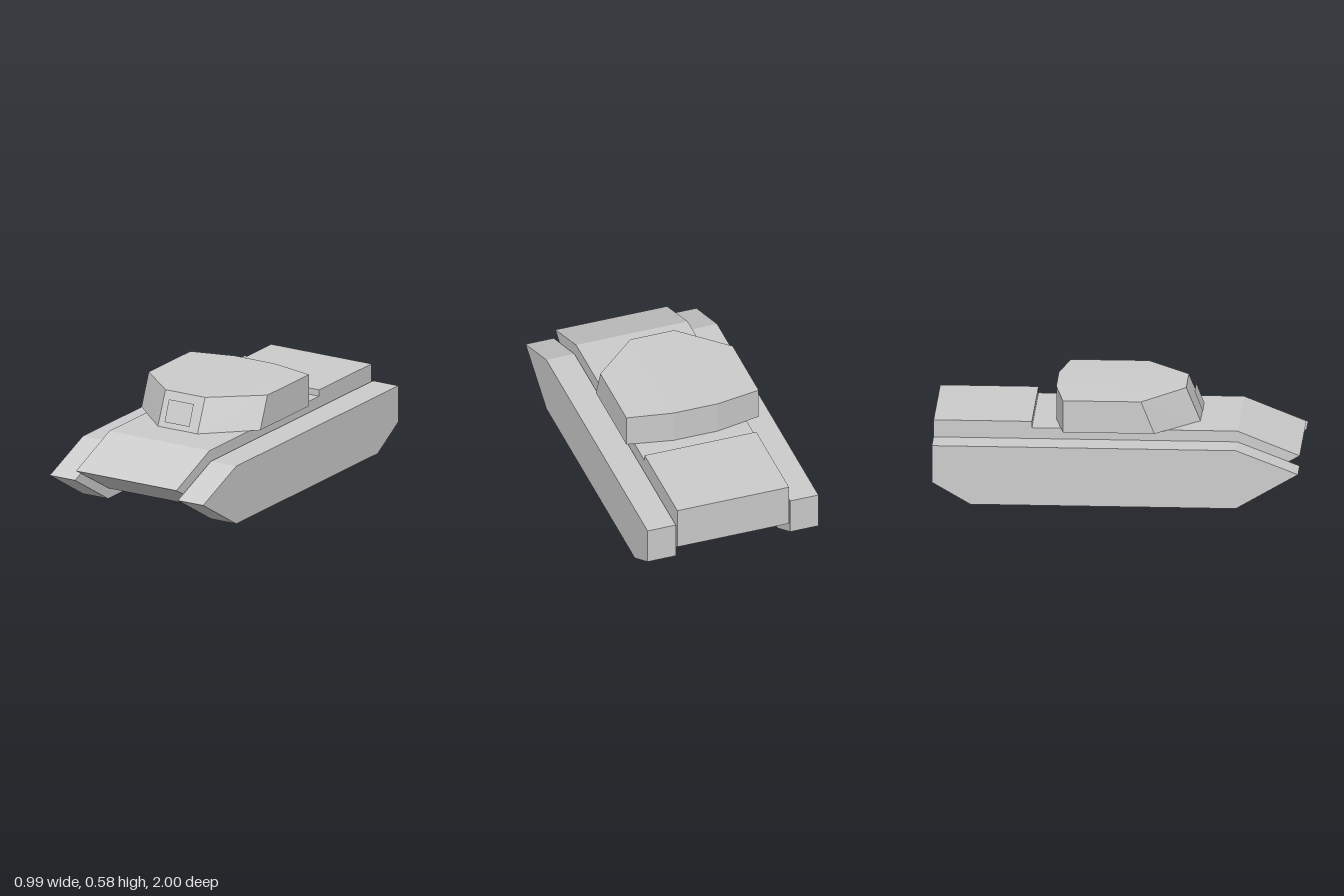
import * as THREE from 'three';
import { ConvexGeometry } from 'three/addons/geometries/ConvexGeometry.js';

const material = new THREE.MeshStandardMaterial({ color: 0xcccccc, flatShading: true });
const thinMaterial = new THREE.MeshStandardMaterial({ color: 0xcccccc, flatShading: true, side: THREE.DoubleSide });

// Side profile of [z, y] points, extruded across from x0 to x1
function slab(name, profile, x0, x1) {
  const shape = new THREE.Shape(profile.map(([z, y]) => new THREE.Vector2(z, y)));
  const geometry = new THREE.ExtrudeGeometry(shape, { depth: x1 - x0, bevelEnabled: false });
  geometry.rotateY(-Math.PI / 2).translate(x1, 0, 0);
  const mesh = new THREE.Mesh(geometry, material);
  mesh.name = name;
  return mesh;
}

// Faceted turret: sloped front, upright sides and back, slightly crowned roof
function turret() {
  const centre = -0.0175, points = [];
  // half width, z, y
  const corners = [
    [0.1275, 0.448, 0.39], [0.3825, 0.21, 0.39], [0.3825, -0.29, 0.39], [0.1275, -0.34, 0.39],
    [0.1275, 0.37, 0.578], [0.3825, 0.137, 0.571], [0.3825, -0.29, 0.57], [0.1275, -0.34, 0.575],
  ];
  for (const [w, z, y] of corners) {
    for (const side of [-1, 1]) points.push(new THREE.Vector3(centre + side * w, y, z));
  }
  const mesh = new THREE.Mesh(new ConvexGeometry(points), material);
  mesh.name = 'turret';
  return mesh;
}

// Flat plate held just ahead of the sloped turret face
function frontPlate() {
  const low = [0.425, 0.458], high = [0.543, 0.413];
  const dy = high[0] - low[0], dz = high[1] - low[1];
  const geometry = new THREE.PlaneGeometry(0.16, Math.hypot(dy, dz));
  geometry.rotateX(Math.atan2(dz, dy));
  const mesh = new THREE.Mesh(geometry, thinMaterial);
  mesh.position.set(-0.016, (low[0] + high[0]) / 2, (low[1] + high[1]) / 2);
  mesh.name = 'turretFrontPlate';
  return mesh;
}

export function createModel() {
  const model = new THREE.Group();
  model.name = 'tank';

  // Hull with wedge nose and raised engine deck
  const hull = [
    [1, 0.255], [0.66, 0.39], [-0.463, 0.39], [-0.463, 0.426],
    [-1, 0.426], [-1, 0.18], [-0.79, 0.06], [0.66, 0.06],
  ];
  model.add(slab('hull', hull, -0.325, 0.321));

  // Track units on both sides
  const track = [[1, 0.2], [0.66, 0.331], [-1, 0.331], [-1, 0.122], [-0.79, 0], [0.66, 0]];
  model.add(slab('rightTrack', track, -0.495, -0.332));
  model.add(slab('leftTrack', track, 0.33, 0.493));

  model.add(turret(), frontPlate());
  return model;
}
